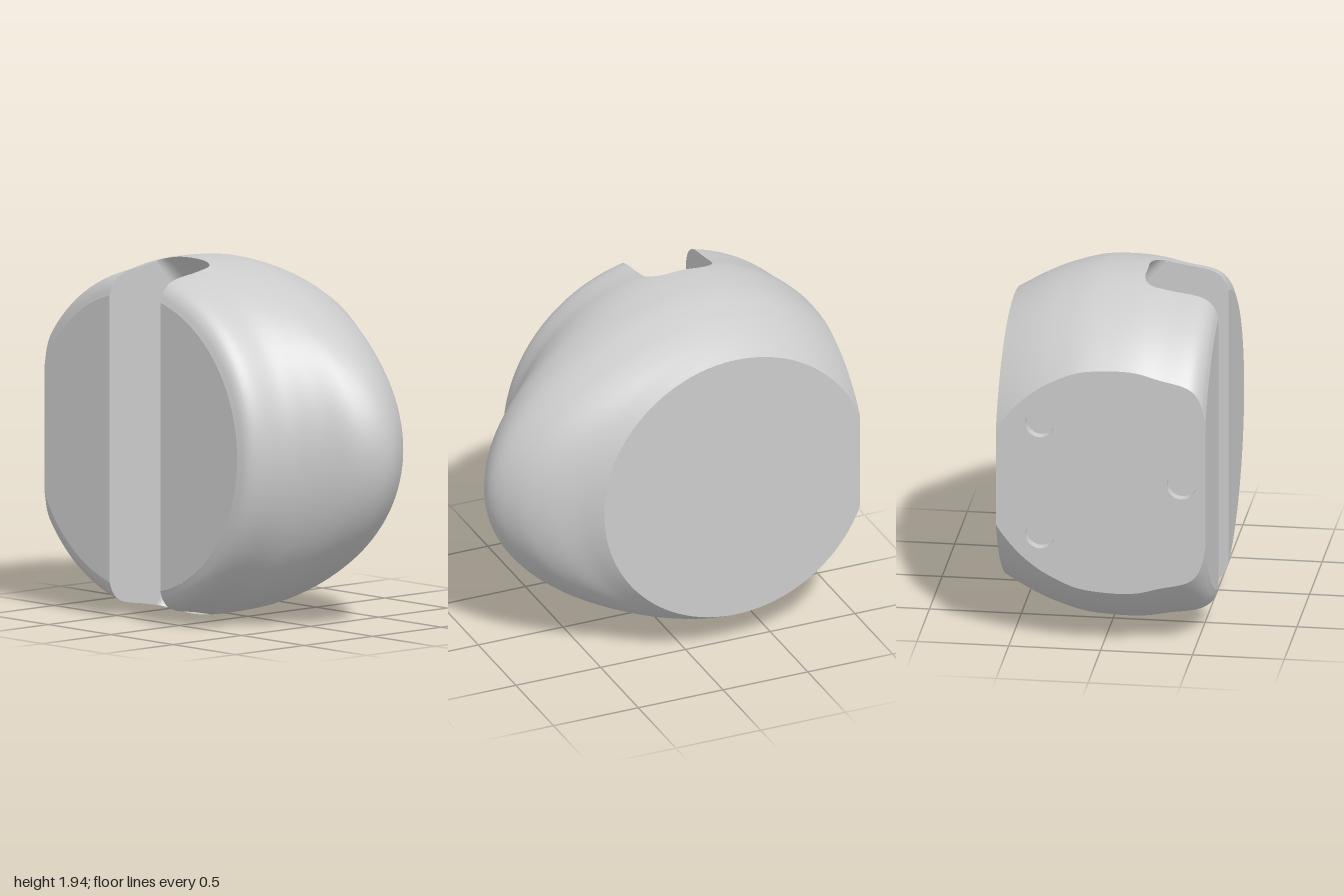
import * as THREE from 'three';

const CX = -0.27, CY = 0.97, BACK = -0.57, FRONT = 0.57;
const SIDE = -1, SLOT_L = -0.48, SLOT_R = -0.075;
const lerp = THREE.MathUtils.lerp;
const ease = (t) => (1 - Math.cos(Math.PI * t)) / 2;

// Profile along z: radius of the round side, reach of the bulging side
const rows = new THREE.CatmullRomCurve3([
  [BACK, 0.78, 0.78], [-0.49, 0.825, 0.89], [-0.4, 0.87, 1.06], [-0.3, 0.91, 1.18],
  [-0.13, 0.957, 1.27], [0.03, 0.97, 1.22], [0.19, 0.967, 1.07], [0.32, 0.945, 0.965],
  [0.47, 0.92, 0.915], [0.52, 0.895, 0.89], [0.55, 0.86, 0.86], [FRONT, 0.81, 0.81],
].map((p) => new THREE.Vector3(...p)), false, 'centripetal').getPoints(66);

function profile(z) {
  let i = 1;
  while (i < rows.length - 1 && rows[i].x < z) i++;
  const p = rows[i - 1], q = rows[i];
  const t = THREE.MathUtils.clamp((z - p.x) / (q.x - p.x), 0, 1);
  return { r: lerp(p.y, q.y, t), a: lerp(p.z, q.z, t) };
}

// Egg-shaped cross-section: circle on one half, stretched on the other
function eggX(th, z) {
  const { r, a } = profile(z);
  const c = Math.cos(th);
  return CX + r * c + (a - r) * Math.pow(Math.max(c, 0), 2.1);
}
function angleAt(x, z) {
  let lo = 0, hi = Math.PI;
  for (let i = 0; i < 36; i++) {
    const mid = (lo + hi) / 2;
    if (eggX(mid, z) > x) lo = mid; else hi = mid;
  }
  return (lo + hi) / 2;
}
const halfY = (x, z) => profile(z).r * Math.sin(angleAt(x, z));

// Slot floor: concave arc along y with rounded corners across x
const ARC = 1.3, ARC_Z = 1.026, FILLET = 0.11;
const MID = (SLOT_L + SLOT_R) / 2, HALF = (SLOT_R - SLOT_L) / 2;
function cornerLift(x) {
  const e = Math.min(1, Math.max(0, (Math.abs(x - MID) - 0.06) / (HALF - 0.06)));
  return FILLET * (1 - Math.sqrt(1 - e * e));
}
const floorZ = (x, dy) => ARC_Z - Math.sqrt(ARC * ARC - dy * dy) + cornerLift(x);
function slotEdge(x) {
  let z = 0.2;
  for (let i = 0; i < 12; i++) z = floorZ(x, halfY(x, z));
  return z;
}

// Grid surface; faces the side of dU x dV
function patch(fn, nu, nv) {
  const pos = [], idx = [];
  for (let j = 0; j <= nv; j++) for (let i = 0; i <= nu; i++) pos.push(...fn(i / nu, j / nv));
  for (let j = 0; j < nv; j++) for (let i = 0; i < nu; i++) {
    const a = j * (nu + 1) + i, d = a + nu + 1;
    idx.push(a, a + 1, d, a + 1, d + 1, d);
  }
  const g = new THREE.BufferGeometry();
  g.setAttribute('position', new THREE.Float32BufferAttribute(pos, 3));
  g.setIndex(idx);
  g.computeVertexNormals();
  return g;
}

// Upper (s = 1) or lower (s = -1) skin between two x values
function strip(xa, xb, zEnd, s, nu, nv) {
  return patch((u, v) => {
    const x = s > 0 ? lerp(xb, xa, ease(u)) : lerp(xa, xb, ease(u));
    const z = zEnd ? lerp(BACK, zEnd(x), v) : rows[Math.round(v * (rows.length - 1))].x;
    return [x, CY + s * halfY(x, z), z];
  }, nu, nv);
}

// Flat end face at z between two x values
function cap(z, xa, xb) {
  const ta = angleAt(xa, z), tb = angleAt(xb, z), r = profile(z).r;
  return patch((u, v) => {
    const th = lerp(ta, tb, u);
    return [eggX(th, z), CY + r * Math.sin(th) * (2 * v - 1), z];
  }, 40, 2);
}

// Side wall of the slot
function wall(x, dir) {
  const z0 = floorZ(x, 0);
  return patch((u, v) => {
    const z = lerp(z0, FRONT, ease(v));
    const k = ARC_Z + cornerLift(x) - z;
    const w = Math.min(halfY(x, z), Math.sqrt(Math.max(0, ARC * ARC - k * k)));
    return [x, CY + dir * w * (2 * u - 1), z];
  }, 2, 90);
}

export function createModel() {
  const model = new THREE.Group();
  model.name = 'grooved body';
  const mat = new THREE.MeshStandardMaterial({ color: 0xcccccc });
  const inner = new THREE.MeshStandardMaterial({ color: 0xcccccc, side: THREE.DoubleSide });
  const add = (name, geo, m = mat) => {
    const mesh = new THREE.Mesh(geo, m);
    mesh.name = name;
    model.add(mesh);
    return mesh;
  };
  const n = rows.length - 1;

  // Outer skin
  add('bulgingSide', patch((u, v) => {
    const z = rows[Math.round(v * n)].x;
    const th = angleAt(SLOT_R, z) * (2 * u - 1);
    return [eggX(th, z), CY + profile(z).r * Math.sin(th), z];
  }, 72, n));
  for (const s of [1, -1]) {
    const label = s > 0 ? 'upper' : 'lower';
    add(label + 'RoundSide', strip(SIDE, SLOT_L, null, s, 18, n));
    add(label + 'SlotBack', strip(SLOT_L, SLOT_R, slotEdge, s, 24, 40));
  }

  // Flat faces
  add('backFace', cap(BACK, SIDE, 2));
  add('frontFaceWide', cap(FRONT, SLOT_R, 2).scale(1, 1, 1));
  add('frontFaceNarrow', cap(FRONT, SIDE, SLOT_L));
  model.getObjectByName('backFace').geometry = cap(BACK, 2, SIDE);

  // Slot
  add('slotFloor', patch((u, v) => {
    const x = lerp(SLOT_L, SLOT_R, ease(u));
    const dy = halfY(x, slotEdge(x)) * (2 * v - 1);
    return [x, CY + dy, floorZ(x, dy)];
  }, 24, 40));
  add('slotWallNarrow', wall(SLOT_L, 1));
  add('slotWallWide', wall(SLOT_R, -1));

  // Flat mounting side with three shallow round sockets
  const top = rows.map((p) => new THREE.Vector2(p.x, CY + halfY(SIDE, p.x)));
  const bottom = top.map((p) => new THREE.Vector2(p.x, 2 * CY - p.y)).reverse();
  const face = new THREE.Shape([...top, ...bottom]);
  const HOLE_R = 0.08, DEPTH = 0.055;
  for (const [z, y] of [[-0.33, CY + 0.32], [-0.33, CY - 0.32], [0.44, CY]]) {
    face.holes.push(new THREE.Path().absarc(z, y, HOLE_R, 0, Math.PI * 2, true));
    add('socketWall', new THREE.CylinderGeometry(HOLE_R, HOLE_R, DEPTH, 24, 1, true)
      .rotateZ(Math.PI / 2), inner).position.set(SIDE + DEPTH / 2, y, z);
    add('socketFloor', new THREE.CircleGeometry(HOLE_R, 24)
      .rotateY(-Math.PI / 2)).position.set(SIDE + DEPTH, y, z);
  }
  add('mountingFace', new THREE.ShapeGeometry(face, 12).rotateY(-Math.PI / 2)).position.x = SIDE;
  return model;
}
